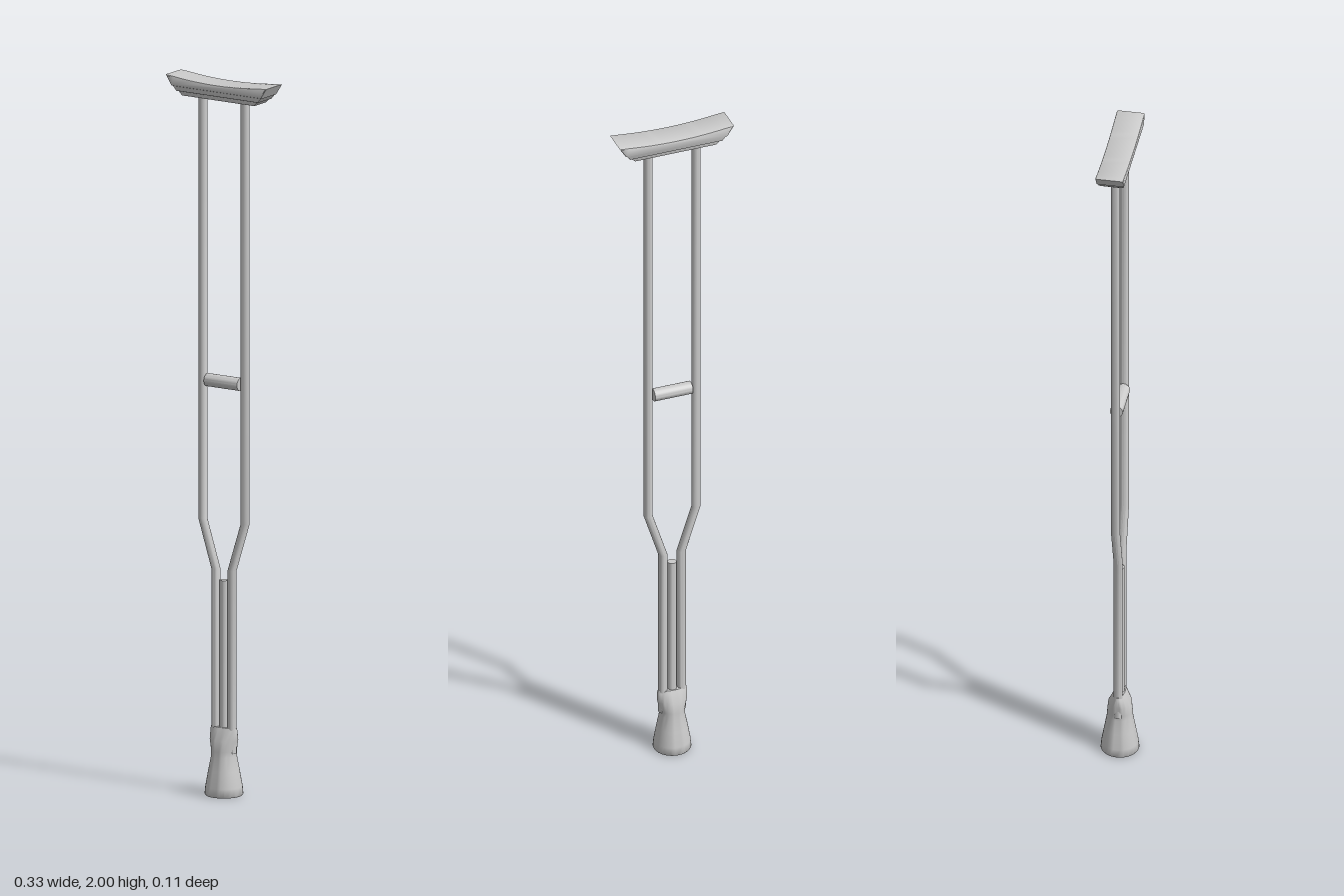
import * as THREE from 'three';
import { toCreasedNormals } from 'three/addons/utils/BufferGeometryUtils.js';

const material = new THREE.MeshStandardMaterial({ color: 0xcccccc });

function addMesh(group, name, geometry, crease = 0.6) {
  const mesh = new THREE.Mesh(toCreasedNormals(geometry, crease), material);
  mesh.name = name;
  group.add(mesh);
  return mesh;
}

// Closed solid through horizontal ellipses, each [y, centreX, radiusX, radiusZ], bottom to top
function loft(sections, sides = 20) {
  const positions = [], index = [];
  for (const [y, cx, rx, rz] of sections) {
    for (let i = 0; i < sides; i++) {
      const a = (i / sides) * Math.PI * 2;
      positions.push(cx + rx * Math.cos(a), y, rz * Math.sin(a));
    }
  }
  for (let s = 0; s < sections.length - 1; s++) {
    for (let i = 0; i < sides; i++) {
      const a = s * sides + i, b = s * sides + (i + 1) % sides;
      index.push(a, a + sides, b, b, a + sides, b + sides);
    }
  }
  const top = (sections.length - 1) * sides;
  for (let i = 1; i < sides - 1; i++) {
    index.push(0, i, i + 1, top, top + i + 1, top + i);
  }
  const geometry = new THREE.BufferGeometry();
  geometry.setAttribute('position', new THREE.Float32BufferAttribute(positions, 3));
  geometry.setIndex(index);
  return geometry;
}

// Bevelled slab with sloping ends and a dished top; sizes include the bevel
function slab(topHalf, bottomHalf, bottomY, topY, dip, halfDepth, bevel) {
  const t = topHalf - bevel, b = bottomHalf - bevel;
  const y0 = bottomY + bevel, y1 = topY - bevel;
  const shape = new THREE.Shape();
  shape.moveTo(-b, y0);
  shape.lineTo(b, y0);
  shape.lineTo(t, y1);
  if (dip > 0) shape.quadraticCurveTo(0, y1 - 2 * dip, -t, y1);
  else shape.lineTo(-t, y1);
  shape.closePath();
  const depth = 2 * (halfDepth - bevel);
  return new THREE.ExtrudeGeometry(shape, {
    depth, bevelEnabled: true, bevelThickness: bevel, bevelSize: bevel, bevelSegments: 2, curveSegments: 16,
  }).translate(0, 0, -depth / 2);
}

export function createModel() {
  const group = new THREE.Group();
  group.name = 'crutch';
  const r = 0.0125;

  // Mirrored side rails, pinched together below the grip
  for (const [side, name] of [[1, 'leftRail'], [-1, 'rightRail']]) {
    addMesh(group, name, loft([
      [0.12, side * 0.027, r, r],
      [0.63, side * 0.027, r, r],
      [0.765, side * 0.07, r, r],
      [1.955, side * 0.07, r, r],
    ], 16));
  }

  // Centre extension post
  addMesh(group, 'centrePost', loft([[0.12, 0, r, r], [0.6, 0, r, r]], 16));

  // Hand grip between the rails
  addMesh(group, 'handGrip',
    new THREE.CylinderGeometry(0.018, 0.018, 0.11, 20).rotateZ(Math.PI / 2).translate(0, 1.153, 0));

  // Rubber foot: round flared base, waist, then a flattened collar around the rails
  addMesh(group, 'rubberFoot', loft([
    [0, 0, 0.05, 0.05],
    [0.004, 0, 0.053, 0.053],
    [0.025, 0, 0.051, 0.051],
    [0.07, 0, 0.043, 0.043],
    [0.11, 0, 0.035, 0.036],
    [0.125, 0, 0.035, 0.035],
    [0.155, 0, 0.042, 0.032],
    [0.182, 0, 0.043, 0.018],
    [0.19, 0, 0.041, 0.015],
  ], 32), 0.8);

  // Underarm rest: dished cushion over two stepped plates
  addMesh(group, 'underarmCushion', slab(0.166, 0.15, 1.969, 2, 0.011, 0.039, 0.004));
  addMesh(group, 'upperPlate', slab(0.148, 0.136, 1.956, 1.974, 0, 0.035, 0.002));
  addMesh(group, 'lowerPlate', slab(0.132, 0.12, 1.944, 1.959, 0, 0.03, 0.002));

  return group;
}
